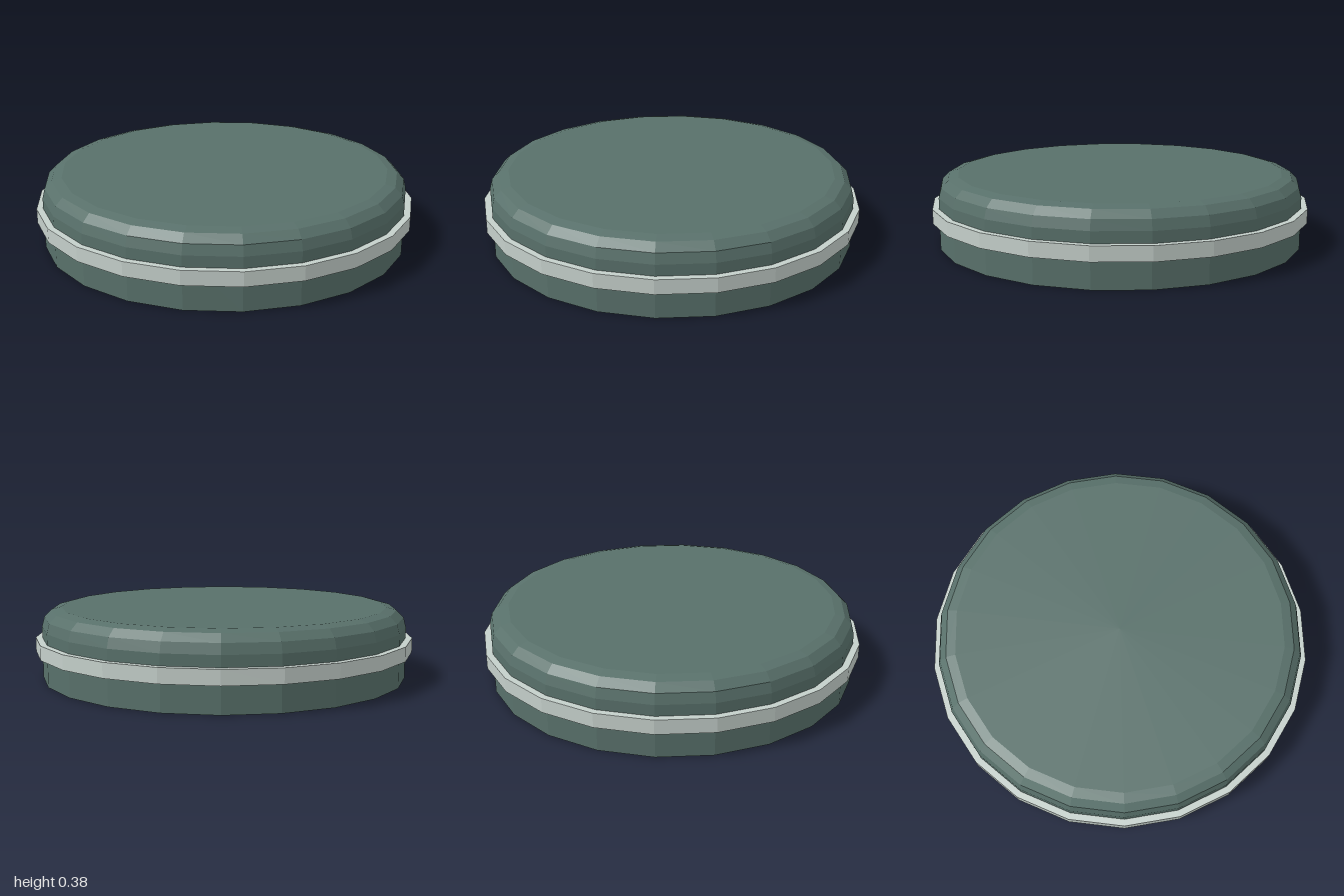
import * as THREE from 'three';

const SIDES = 22;

function lathe(name, profile, color) {
  const points = profile.map(([r, y]) => new THREE.Vector2(r, y));
  const material = new THREE.MeshStandardMaterial({ color, flatShading: true });
  const mesh = new THREE.Mesh(new THREE.LatheGeometry(points, SIDES), material);
  mesh.name = name;
  return mesh;
}

export function createModel() {
  const group = new THREE.Group();
  group.name = 'roundDisc';

  // Closed drum with a three-step rounded upper edge
  const radius = 0.966, height = 0.375, bevel = 0.103;
  const body = [[0, 0], [radius, 0]];
  for (let i = 0; i <= 3; i++) {
    const a = (i / 3) * Math.PI / 2;
    body.push([
      radius - bevel + bevel * Math.cos(a),
      height - bevel + bevel * Math.sin(a),
    ]);
  }
  body.push([0, height]);
  group.add(lathe('body', body, 0x58706a));

  // Raised band around the side
  const low = 0.14, high = 0.215, inner = 0.95;
  const band = [[inner, low], [1, low], [1, high], [inner, high]];
  group.add(lathe('band', band, 0xc4cfca));

  return group;
}
